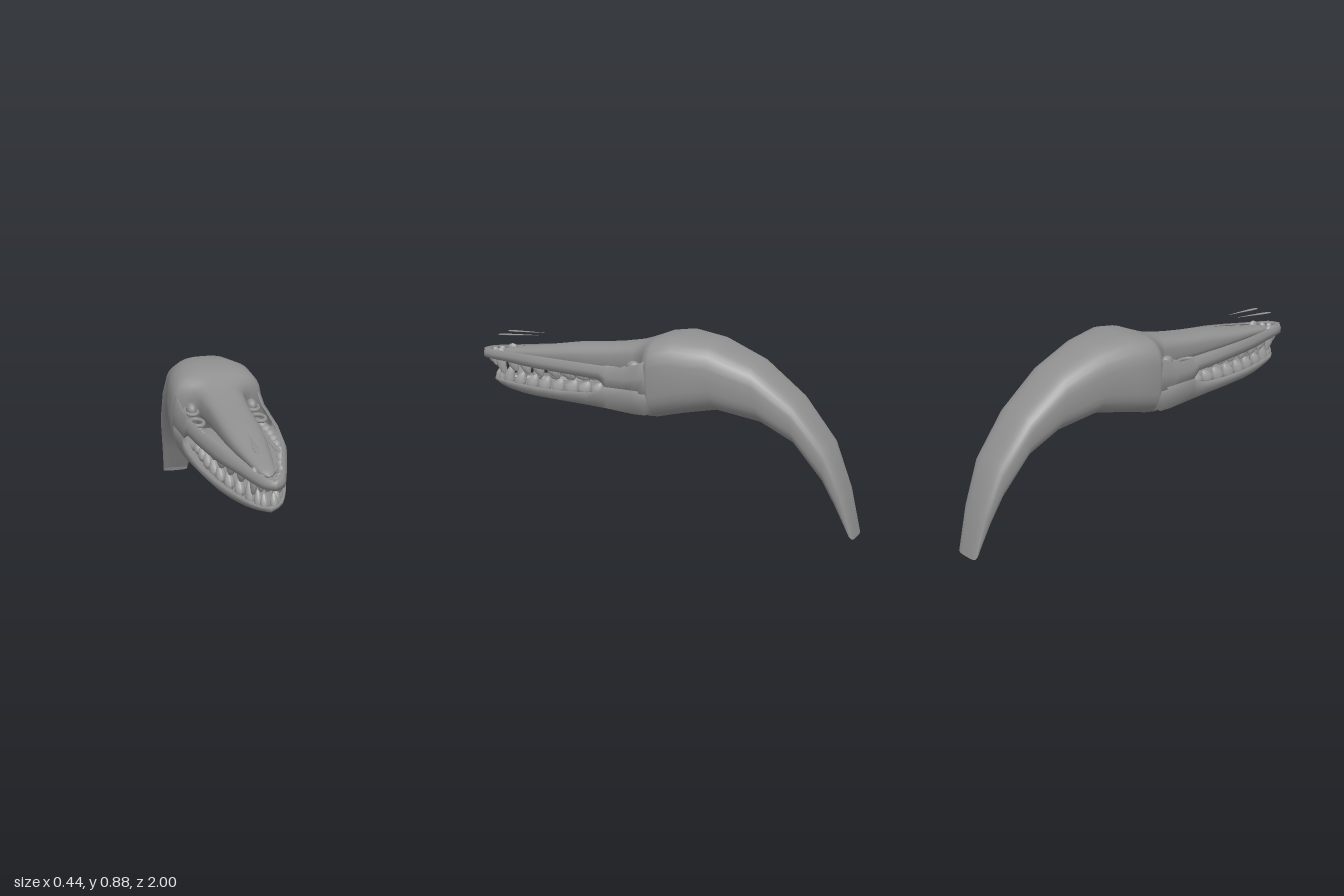
import * as THREE from 'three';

const paint = color => new THREE.MeshStandardMaterial({ color, side: THREE.DoubleSide });
const skin = paint(0x909090), enamel = paint(0xa2a2a2), flesh = paint(0xcccccc);

// Skins a list of rings (arrays of [x, y, z]) with smooth normals.
function loft(name, rings, closed = true, material = skin) {
  const n = rings[0].length, index = [];
  const spans = closed ? n : n - 1;
  for (let r = 0; r < rings.length - 1; r++) {
    for (let i = 0; i < spans; i++) {
      const a = r * n + i, b = r * n + (i + 1) % n;
      index.push(a, a + n, b, b, a + n, b + n);
    }
  }
  const g = new THREE.BufferGeometry();
  g.setAttribute('position', new THREE.Float32BufferAttribute(rings.flat(2), 3));
  g.setIndex(index);
  g.computeVertexNormals();
  const mesh = new THREE.Mesh(g, material);
  mesh.name = name;
  return mesh;
}

// Ring hung between a top and a bottom point, with rounded-box power p and a crease below.
function ring([zt, yt, zb, yb, w, p = 0.72, notch = 0], n = 32) {
  return Array.from({ length: n }, (_, i) => {
    const a = -i / n * Math.PI * 2, s = Math.sin(a), c = Math.cos(a);
    const x = Math.sign(s) * Math.abs(s) ** p, t = Math.sign(c) * Math.abs(c) ** p;
    const k = (t + 1) / 2;
    const crease = c < 0 ? notch * Math.max(0, 1 - Math.abs(x) * 2) : 0;
    return [x * w, yb + (yt - yb) * k + crease, zb + (zt - zb) * k];
  });
}

// Piecewise linear lookup in [z, value] pairs.
function at(table, z) {
  for (let i = 1; i < table.length; i++) {
    const [z0, v0] = table[i - 1], [z1, v1] = table[i];
    if (z <= z1) return v0 + (v1 - v0) * Math.max(0, (z - z0) / (z1 - z0));
  }
  return table[table.length - 1][1];
}

// Lip band with a gum shelf inside: [z, half width, bottom, top] stations,
// up one side and back down the other.
function lip(name, stations, lean, thick) {
  const section = ([z, w, bottom, top], side) => {
    const inner = Math.max(w - thick, 0), zi = z > 0.85 ? z - thick * 0.8 : z;
    const lo = lean < 0 ? w + lean : w, hi = lean > 0 ? w - lean : w;
    return [
      [Math.max(inner - 0.09, 0) * side, bottom + 0.02, zi], [inner * side, bottom + 0.018, zi],
      [Math.max(lo, 0) * side, bottom, z], [w * side, (bottom + top) / 2, z],
      [Math.max(hi, 0) * side, top, z], [inner * side, top - 0.005, zi],
    ];
  };
  const left = stations.map(s => section(s, 1));
  const right = stations.slice(0, -1).reverse().map(s => section(s, -1));
  return loft(name, [...left, ...right], false);
}

// Pointed tooth with a rounded root; the tip is at -y and leans back.
function toothGeometry() {
  const profile = [[0, -1], [0.22, -0.87], [0.43, -0.5], [0.5, -0.1], [0.44, 0.15], [0.3, 0.38], [0, 0.45]];
  const g = new THREE.LatheGeometry(profile.map(([x, y]) => new THREE.Vector2(x, y)), 10);
  const p = g.attributes.position;
  for (let i = 0; i < p.count; i++) {
    const y = Math.min(p.getY(i), 0);
    p.setZ(i, p.getZ(i) - 0.3 * y * y);
  }
  g.computeVertexNormals();
  return g;
}

export function createModel() {
  const model = new THREE.Group();

  // Neck, skull and snout in one skin: top z, top y, bottom z, bottom y, half width, power, crease
  const body = [
    [-1, 0, -0.97, 0.03, 0.067, 0.6], [-0.95, 0.22, -0.9, 0.155, 0.085],
    [-0.86, 0.44, -0.85, 0.25, 0.106], [-0.7, 0.63, -0.71, 0.42, 0.125],
    [-0.5, 0.78, -0.55, 0.5, 0.146], [-0.3, 0.86, -0.33, 0.535, 0.175],
    [-0.13, 0.88, -0.18, 0.508, 0.213, 0.66, 0.015], [-0.03, 0.862, -0.04, 0.475, 0.222, 0.6, 0.03],
    [0, 0.85, 0, 0.5, 0.21, 0.64, 0.02], [0.025, 0.841, 0.025, 0.58, 0.165], [0.06, 0.828, 0.06, 0.635, 0.124],
    [0.1, 0.815, 0.1, 0.645, 0.108], [0.22, 0.793, 0.22, 0.65, 0.097], [0.35, 0.776, 0.35, 0.65, 0.093],
    [0.45, 0.768, 0.45, 0.65, 0.09, 0.8], [0.6, 0.742, 0.6, 0.655, 0.078, 0.85],
    [0.72, 0.722, 0.72, 0.66, 0.06, 0.9], [0.82, 0.706, 0.82, 0.66, 0.044, 0.9],
    [0.87, 0.697, 0.87, 0.663, 0.035, 0.9], [0.895, 0.685, 0.895, 0.668, 0.015, 0.9], [0.9, 0.675, 0.9, 0.674, 0.001, 1],
  ];
  const bodyRings = body.map(b => ring(b));
  model.add(loft('neckSkullAndSnout', bodyRings));
  const neckEnd = bodyRings[0];
  model.add(loft('neckEnd', [neckEnd, neckEnd.map(() => [0, 0.015, -0.985])], true, flesh));

  // Floor of the lower jaw: two lobes at the back, creased along the middle
  const floor = [
    [-0.1, 0.56, 0.51, 0.17, 0.02], [-0.02, 0.575, 0.476, 0.19, 0.03], [0.06, 0.575, 0.484, 0.178, 0.03],
    [0.13, 0.575, 0.499, 0.145, 0.025], [0.2, 0.572, 0.507, 0.108, 0.015], [0.4, 0.56, 0.508, 0.088, 0.012],
    [0.6, 0.552, 0.5, 0.078, 0.01], [0.75, 0.545, 0.499, 0.055, 0.008], [0.83, 0.54, 0.508, 0.035, 0.005],
    [0.88, 0.532, 0.528, 0.005, 0],
  ];
  model.add(loft('jawFloor', floor.map(([z, t, b, w, notch]) => ring([z, t, z, b, w, 0.8, notch]))));

  // Upper lip joins the cheek behind the corner of the mouth
  const upper = [
    [-0.06, 0.21, 0.61, 0.735], [-0.01, 0.218, 0.61, 0.765], [0.03, 0.217, 0.61, 0.745],
    [0.1, 0.213, 0.61, 0.722], [0.19, 0.209, 0.615, 0.718], [0.23, 0.205, 0.652, 0.718],
    [0.4, 0.192, 0.656, 0.718], [0.6, 0.162, 0.656, 0.715], [0.7, 0.135, 0.655, 0.71],
    [0.8, 0.104, 0.655, 0.703], [0.9, 0.073, 0.652, 0.697], [0.96, 0.05, 0.65, 0.694],
    [0.985, 0.028, 0.65, 0.69], [1, 0, 0.65, 0.686],
  ];
  model.add(lip('upperLip', upper, 0.012, 0.025));

  const lower = [
    [-0.06, 0.205, 0.535, 0.622], [-0.01, 0.217, 0.503, 0.622], [0.05, 0.218, 0.502, 0.622],
    [0.19, 0.216, 0.512, 0.622], [0.22, 0.214, 0.513, 0.6], [0.3, 0.206, 0.514, 0.58],
    [0.45, 0.19, 0.514, 0.567], [0.6, 0.162, 0.51, 0.56], [0.7, 0.133, 0.508, 0.556],
    [0.8, 0.098, 0.511, 0.553], [0.87, 0.068, 0.518, 0.551], [0.915, 0.035, 0.524, 0.549], [0.93, 0, 0.527, 0.548],
  ];
  model.add(lip('lowerLip', lower, -0.022, 0.025));

  // Teeth: z, length along the jaw, crown height
  const upperTeeth = [
    [0.945, 0.035, 0.045], [0.915, 0.04, 0.055], [0.865, 0.06, 0.088], [0.775, 0.065, 0.06],
    [0.69, 0.065, 0.06], [0.605, 0.068, 0.058], [0.52, 0.072, 0.05], [0.445, 0.075, 0.045],
    [0.37, 0.075, 0.042], [0.3, 0.07, 0.038], [0.235, 0.06, 0.034],
  ];
  const lowerTeeth = [
    [0.9, 0.035, 0.048], [0.87, 0.04, 0.055], [0.815, 0.058, 0.072], [0.735, 0.062, 0.052],
    [0.65, 0.068, 0.052], [0.57, 0.07, 0.052], [0.49, 0.074, 0.052], [0.41, 0.076, 0.05],
    [0.335, 0.074, 0.045], [0.265, 0.066, 0.04],
  ];
  const row = [[0.2, 0.155], [0.4, 0.15], [0.6, 0.13], [0.7, 0.107], [0.8, 0.078], [0.87, 0.056], [0.92, 0.037], [0.95, 0.018]];
  const tooth = toothGeometry();
  for (const [name, teeth, up] of [['upperTooth', upperTeeth, 1], ['lowerTooth', lowerTeeth, -1]]) {
    for (const [z, length, height] of teeth) {
      for (const side of [1, -1]) {
        const mesh = new THREE.Mesh(tooth, enamel);
        mesh.name = name;
        const x = at(row, up > 0 ? z : z + 0.045);
        const y = up > 0 ? 0.668 : at([[0.25, 0.582], [0.45, 0.562], [0.9, 0.55]], z);
        mesh.position.set(x * side, y, z);
        mesh.scale.set(z > 0.86 ? 0.036 : 0.046, height * 1.05, length);
        if (up < 0) mesh.rotation.z = Math.PI;
        model.add(mesh);
      }
    }
  }

  for (const side of [1, -1]) {
    // Eye sockets: an oval rim around a small raised eye, and a second hollow in front
    for (const [z, len, y] of [[0.075, 0.05, 0.705], [0.2, 0.05, 0.692]]) {
      const rim = new THREE.Mesh(new THREE.TorusGeometry(0.03, 0.009, 8, 20), skin);
      rim.name = 'socketRim';
      rim.rotation.x = Math.PI / 2;
      rim.scale.y = len / 0.03;
      rim.position.set(0.147 * side, y, z);
      model.add(rim);
    }
    const eye = new THREE.Mesh(new THREE.SphereGeometry(1, 16, 10), skin);
    eye.name = 'eye';
    eye.scale.set(0.024, 0.03, 0.036);
    eye.position.set(0.145 * side, 0.715, 0.075);
    model.add(eye);

    // Slim pointed leaf floating above each side of the nose: z, x, top, bottom, half width
    const leaf = [
      [0.66, 0.03, 0.788, 0.787, 0.001], [0.75, 0.037, 0.785, 0.78, 0.006], [0.83, 0.043, 0.781, 0.774, 0.012],
      [0.87, 0.046, 0.778, 0.772, 0.01], [0.885, 0.047, 0.775, 0.774, 0.001],
    ];
    model.add(loft('noseLeaf', leaf.map(([z, x, t, b, w]) =>
      ring([z, t, z, b, w, 1], 10).map(([px, py, pz]) => [px + x * side, py, pz]))));
  }

  return model;
}
